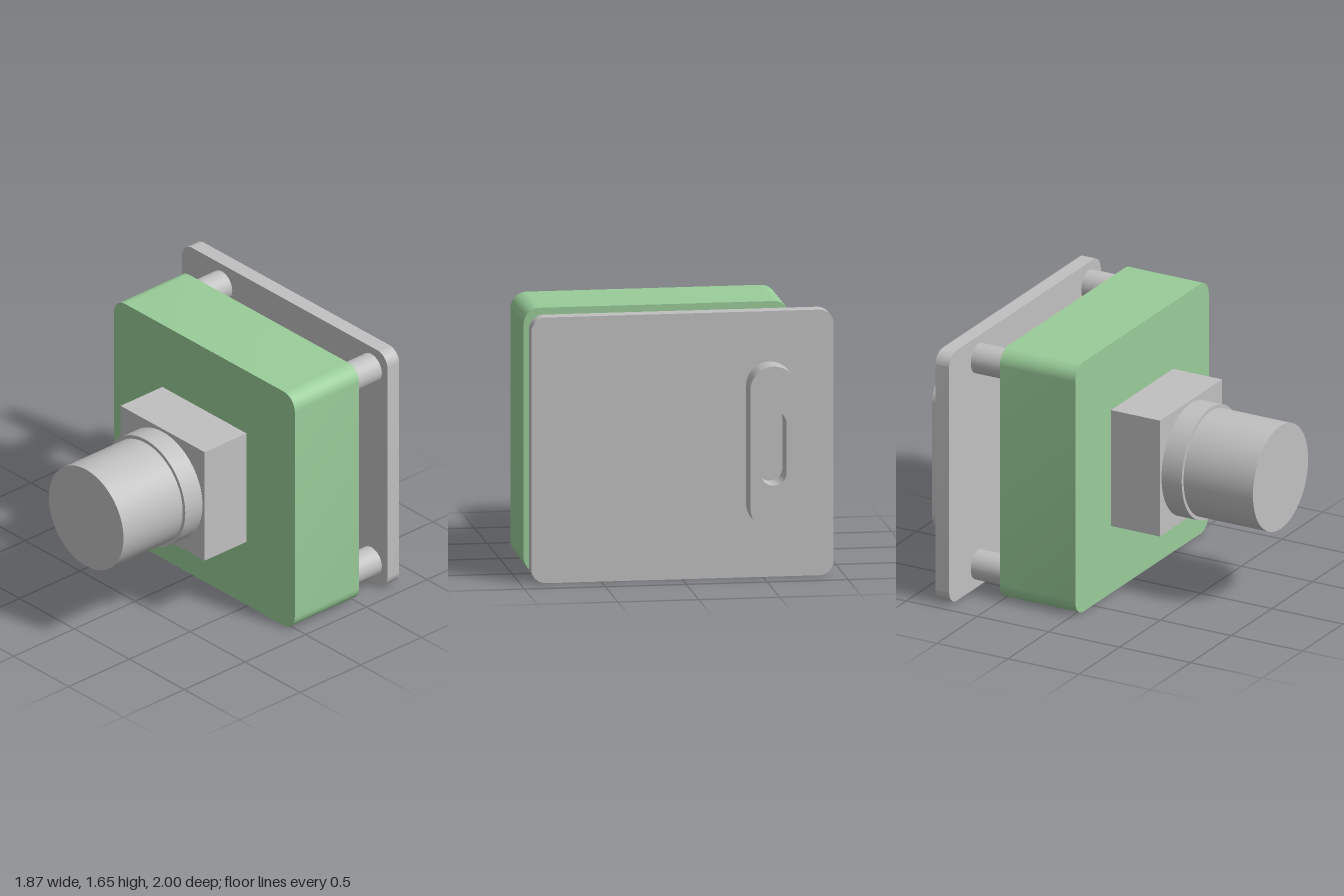
import * as THREE from 'three';
import { toCreasedNormals } from 'three/addons/utils/BufferGeometryUtils.js';

const green = new THREE.MeshStandardMaterial({ color: 0x99cc99 });
green.name = 'soft green';
const grey = new THREE.MeshStandardMaterial({ color: 0xc0c0c0 });
grey.name = 'light grey';

// Trace a rounded rectangle centred on (cx, cy)
function roundedRect(path, cx, cy, w, h, r) {
  const x = w / 2 - r, y = h / 2 - r, q = Math.PI / 2;
  path.absarc(cx + x, cy + y, r, 0, q);
  path.absarc(cx - x, cy + y, r, q, 2 * q);
  path.absarc(cx - x, cy - y, r, 2 * q, 3 * q);
  path.absarc(cx + x, cy - y, r, 3 * q, 4 * q);
  path.closePath();
  return path;
}

export function createModel() {
  const model = new THREE.Group();

  function add(name, geometry, material, x = 0, y = 0, z = 0) {
    const mesh = new THREE.Mesh(geometry, material);
    mesh.name = name;
    mesh.position.set(x, y, z);
    model.add(mesh);
  }

  // Flat outline pushed from z0 to z1
  function slab(name, shape, z0, z1, material, curveSegments) {
    const g = new THREE.ExtrudeGeometry(shape, { depth: z1 - z0, bevelEnabled: false, curveSegments });
    add(name, toCreasedNormals(g, 0.6), material, 0, 0, z0);
  }

  // Cylinder lying along z
  function barrel(name, x, y, r, z0, z1, segments) {
    const g = new THREE.CylinderGeometry(r, r, z1 - z0, segments).rotateX(Math.PI / 2);
    add(name, g, grey, x, y, (z0 + z1) / 2);
  }

  // Main body and back plate
  slab('body', roundedRect(new THREE.Shape(), 0.107, 0.826, 1.645, 1.648, 0.1), -0.504, 0.026, green, 6);
  slab('backPlate', roundedRect(new THREE.Shape(), -0.002, 0.826, 1.868, 1.652, 0.09), -0.832, -0.735, grey, 10);

  // Slotted lug on the back plate
  const lug = roundedRect(new THREE.Shape(), -0.54, 0.828, 0.29, 1.02, 0.1449);
  lug.holes.push(roundedRect(new THREE.Path(), -0.54, 0.828, 0.16, 0.46, 0.0799));
  slab('slottedLug', lug, -1, -0.832, grey, 12);

  // Standoff posts joining body and plate
  for (const x of [-0.575, 0.786])
    for (const y of [0.145, 1.507]) barrel('standoff', x, y, 0.095, -0.735, -0.504, 32);

  // Square mount, collar and barrel on the front
  add('mountBlock', new THREE.BoxGeometry(0.765, 0.765, 0.344), grey, 0.107, 0.828, 0.198);
  barrel('collar', 0.107, 0.828, 0.363, 0.37, 0.512, 64);
  barrel('frontBarrel', 0.107, 0.828, 0.34, 0.512, 1, 64);

  return model;
}
